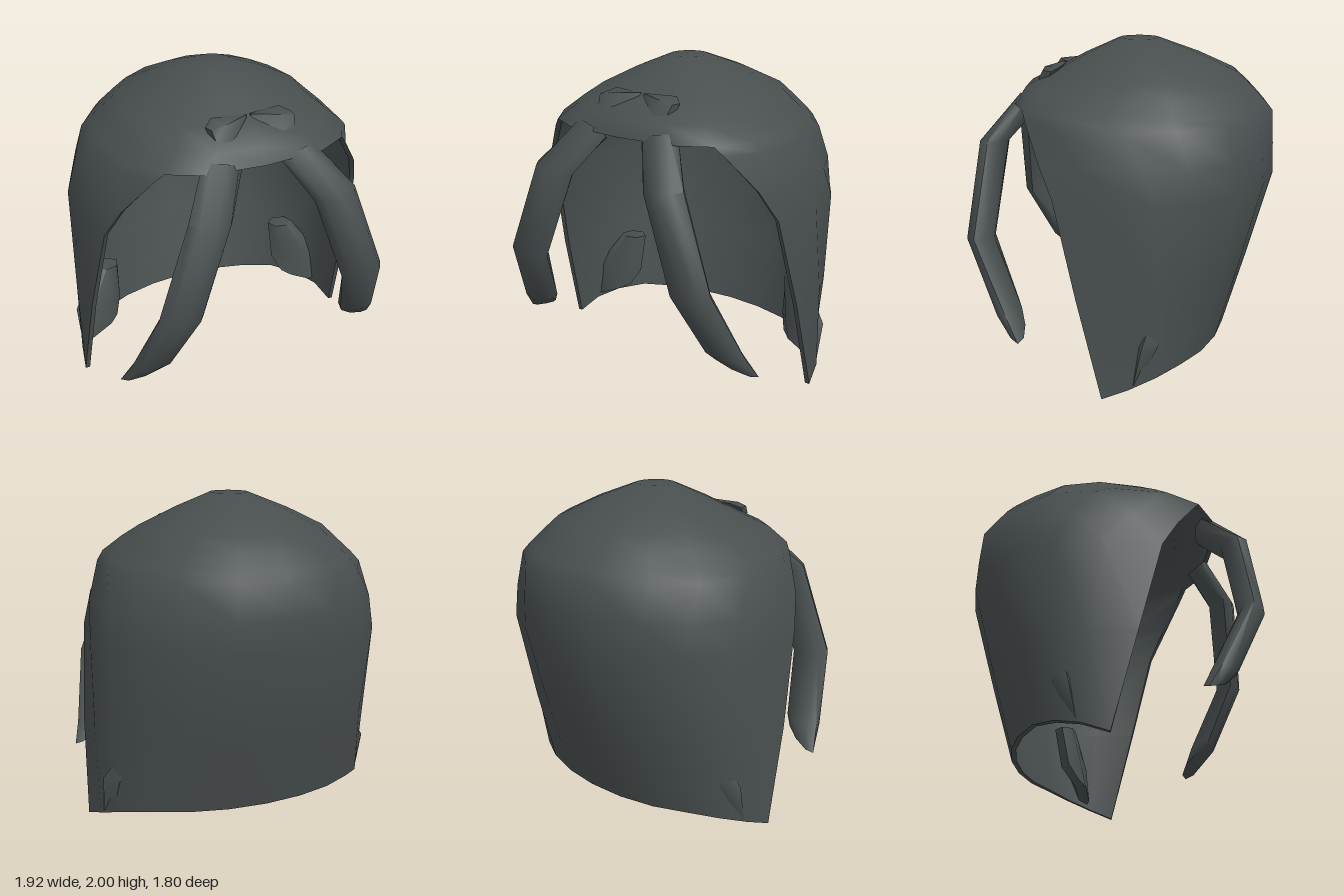
import * as THREE from 'three';
import { toCreasedNormals } from 'three/addons/utils/BufferGeometryUtils.js';

const hairMat = new THREE.MeshStandardMaterial({ color: 0x484e4e, side: THREE.DoubleSide });
hairMat.name = 'dark grey hair';

function creasedGeometry(pos, idx, crease) {
  const g = new THREE.BufferGeometry();
  g.setAttribute('position', new THREE.Float32BufferAttribute(pos, 3));
  g.setIndex(idx);
  return toCreasedNormals(g, crease);
}

// Shell: rows of [y, half width, centre z, front radius, back radius, front edge z, front roundness]
function shellGeometry() {
  const rows = [
    [2.0, 0.12, -0.045, 0.125, 0.125, null, 2],
    [1.905, 0.355, -0.08, 0.37, 0.35, null, 2.1],
    [1.8, 0.565, -0.1, 0.59, 0.56, null, 2.2],
    [1.72, 0.65, -0.1, 0.75, 0.65, null, 2.5],
    [1.625, 0.755, -0.1, 0.79, 0.74, 0.55, 3],
    [1.57, 0.805, -0.1, 0.79, 0.785, 0.52, 2.8],
    [1.36, 0.885, -0.1, 0.85, 0.795, 0.4, 2.5],
    [1.17, 0.925, -0.1, 1.1, 0.8, 0.3, 2],
    [0.6, 0.943, -0.05, 1.1, 0.695, 0.155, 2],
    [0.0, 0.96, 0, 1, 0.61, 0, 2],
  ];
  const brim = 4, last = rows.length - 1, K = 12, F = 4, N = K + F, thickness = 0.03;
  const pos = [], idx = [];
  const edgeAngle = ([, , zc, rf, , ze, n]) => Math.acos(((ze - zc) / rf) ** (n / 2));
  for (const inset of [0, thickness]) {
    pos.push(0, 2 - inset, -0.045);
    rows.forEach((row, r) => {
      const [y, rx, zc, rf, rb, , nf] = row;
      const t0 = edgeAngle(rows[Math.max(r, brim)]);
      const drop = r < brim ? inset * (1 - r / brim) : 0;
      for (let j = 0; j < N; j++) {
        const t = j <= K ? t0 + (2 * Math.PI - 2 * t0) * j / K
          : 2 * Math.PI - t0 + 2 * t0 * (j - K) / F;
        const c = Math.cos(t), s = Math.sin(t), n = c > 0 ? nf : 2;
        const x = (rx - inset) * Math.sign(s) * Math.abs(s) ** (2 / n);
        const z = zc + ((c > 0 ? rf : rb) - inset) * Math.sign(c) * Math.abs(c) ** (2 / n);
        // the hem rises from the front corners to the back
        const lift = r === last ? 0.13 * Math.min(1, Math.max(0, -z / 0.4)) ** 0.85 : 0;
        pos.push(x, y - drop + lift, z);
      }
    });
  }
  const layer = 1 + rows.length * N;
  const at = (r, j, inner = 0) => inner * layer + 1 + r * N + (j % N);
  const quad = (a, b, c, d) => idx.push(a, b, c, a, c, d);
  // outer and inner skins, leaving the face open below the brim
  for (let j = 0; j < N; j++) {
    idx.push(0, at(0, j), at(0, j + 1), layer, at(0, j + 1, 1), at(0, j, 1));
    for (let r = 0; r < last; r++) {
      if (r >= brim && j >= K) continue;
      quad(at(r, j), at(r + 1, j), at(r + 1, j + 1), at(r, j + 1));
      quad(at(r, j, 1), at(r, j + 1, 1), at(r + 1, j + 1, 1), at(r + 1, j, 1));
    }
  }
  // rim joining the skins: hem, brim and the two front edges
  const rim = (r0, j0, r1, j1) => quad(at(r0, j0), at(r0, j0, 1), at(r1, j1, 1), at(r1, j1));
  for (let j = 0; j < N; j++) {
    const r = j < K ? last : brim;
    rim(r, j, r, j + 1);
  }
  for (let r = brim; r < last; r++) {
    rim(r, 0, r + 1, 0);
    rim(r + 1, K, r, K);
  }
  return creasedGeometry(pos, idx, 1.0);
}

// Closed strand lofted through elliptical sections [centre, long axis, short axis]
function strandGeometry(sections, sides, mirror) {
  const pos = [], idx = [], last = sections.length - 1;
  for (const [c, a, b] of sections) {
    for (let j = 0; j < sides; j++) {
      const t = mirror * j / sides * Math.PI * 2;
      const p = c.map((v, k) => v + a[k] * Math.cos(t) + b[k] * Math.sin(t));
      pos.push(p[0] * mirror, p[1], p[2]);
    }
  }
  const at = (r, j) => r * sides + (j % sides);
  for (let j = 0; j < sides; j++) {
    for (let r = 0; r < last; r++) {
      idx.push(at(r, j), at(r, j + 1), at(r + 1, j), at(r, j + 1), at(r + 1, j + 1), at(r + 1, j));
    }
    if (j > 0 && j < sides - 1) {
      idx.push(at(0, 0), at(0, j + 1), at(0, j), at(last, 0), at(last, j), at(last, j + 1));
    }
  }
  return creasedGeometry(pos, idx, 1.15);
}

const strands = {
  // long lock hanging from the brim, bowing forward and outward
  FrontLock: [8, [
    [[0.245, 1.625, 0.605], [0.115, 0.03, -0.02], [0, 0.045, 0.055]],
    [[0.4, 1.4, 0.785], [0.135, 0.02, 0], [0, 0, 0.087]],
    [[0.605, 0.84, 0.825], [0.138, 0.02, 0], [0, 0, 0.08]],
    [[0.715, 0.43, 0.635], [0.13, -0.02, -0.03], [0.02, 0, 0.08]],
    [[0.755, 0.335, 0.575], [0.135, -0.06, -0.05], [0.01, 0, 0.055]],
  ]],
  // small wedge tuft on top, above the brim
  TopTuft: [4, [
    [[0.015, 1.828, 0.435], [0, 0.006, -0.012], [0, 0.012, 0.01]],
    [[0.19, 1.79, 0.485], [0.03, 0.05, -0.085], [0, 0.04, 0.03]],
    [[0.265, 1.787, 0.495], [0.012, 0.025, -0.045], [0, 0.028, 0.015]],
  ]],
  // tuft inside each lower side, its outer corner breaking through the wall
  SideTuft: [6, [
    [[0.67, 0.56, -0.32], [0.085, 0, 0.02], [-0.02, 0, 0.07]],
    [[0.76, 0.31, -0.26], [0.165, 0.01, 0.03], [-0.02, 0, 0.08]],
    [[0.78, 0.14, -0.2], [0.135, -0.06, 0.02], [-0.01, 0, 0.04]],
  ]],
};

export function createModel() {
  const model = new THREE.Group();
  model.name = 'hairPiece';
  const add = (name, geometry) => {
    const mesh = new THREE.Mesh(geometry, hairMat);
    mesh.name = name;
    model.add(mesh);
  };
  add('hairShell', shellGeometry());
  for (const [side, mirror] of [['left', 1], ['right', -1]]) {
    for (const [name, [sides, sections]] of Object.entries(strands)) {
      add(side + name, strandGeometry(sections, sides, mirror));
    }
  }
  return model;
}
